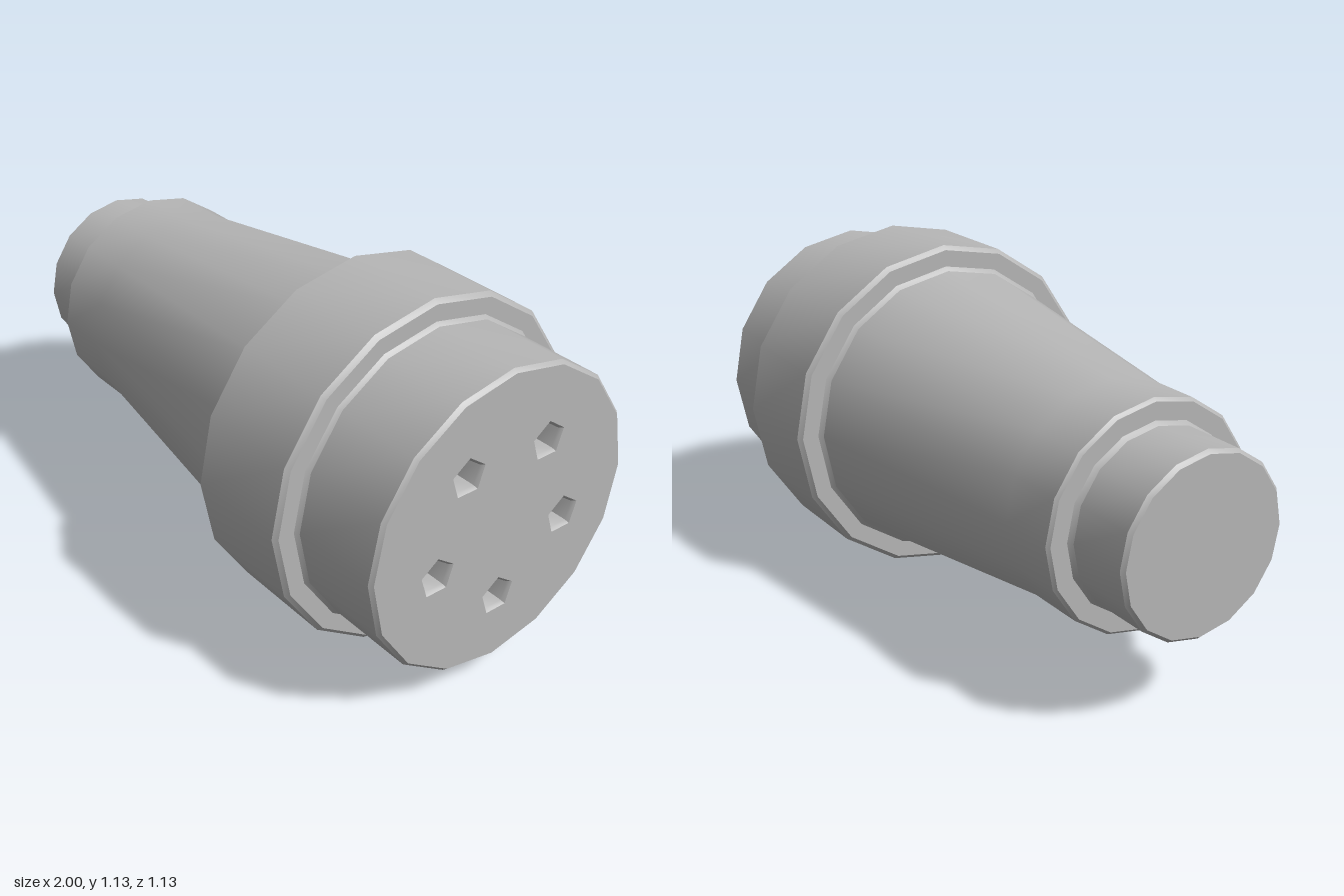
import * as THREE from 'three';
import { toCreasedNormals } from 'three/addons/utils/BufferGeometryUtils.js';

const RADIUS = 0.563;
const SIDES = 16;
const CREASE = 0.6;

export function createModel() {
  const model = new THREE.Group();
  model.name = 'plugConnector';
  const grey = new THREE.MeshStandardMaterial({ color: 0xb6b6b6 });
  grey.name = 'grey';

  // Turns a [x, radius] profile around the long axis
  function turned(name, profile, sides, phiStart = 0) {
    const points = profile.map(([x, r]) => new THREE.Vector2(r, x));
    const geometry = new THREE.LatheGeometry(points, sides, phiStart);
    geometry.rotateZ(-Math.PI / 2);
    const mesh = new THREE.Mesh(toCreasedNormals(geometry, CREASE), grey);
    mesh.name = name;
    mesh.position.y = RADIUS;
    model.add(mesh);
    return mesh;
  }

  // Corner points of a regular polygon
  const polygon = (sides, r, cx = 0, cy = 0, start = 0) =>
    Array.from({ length: sides }, (_, i) => {
      const a = start + (i * 2 * Math.PI) / sides;
      return new THREE.Vector2(cx + r * Math.cos(a), cy + r * Math.sin(a));
    });

  // Cable stub, closed at the back end
  turned('cableStub', [
    [-1, 0], [-1, 0.274], [-0.988, 0.285], [-0.785, 0.285], [-0.77, 0.296],
  ], SIDES);

  // Tapered grip with a short straight neck
  turned('taperedGrip', [
    [-0.77, 0.296], [-0.77, 0.352], [-0.76, 0.362], [-0.57, 0.362],
    [0.312, 0.481], [0.325, 0.494],
  ], SIDES);

  // Wide locking collar
  turned('collar', [
    [0.325, 0.494], [0.325, 0.549], [0.339, RADIUS], [0.677, RADIUS],
    [0.69, 0.549], [0.69, 0.496],
  ], SIDES);

  // Plug sleeve, left open for the socket face
  turned('sleeve', [
    [0.69, 0.496], [0.702, 0.485], [0.988, 0.485], [1, 0.474],
  ], SIDES);

  // Five pin sockets in a ring, one at the bottom
  const sockets = polygon(5, 0.257, 0, 0, -Math.PI / 2);
  const face = new THREE.Shape(polygon(SIDES, 0.474));
  for (const c of sockets) {
    face.holes.push(new THREE.Path(polygon(5, 0.062, c.x, c.y, Math.PI / 2)));
    const socket = turned('pinSocket', [
      [0, 0.062], [-0.012, 0.052], [-0.1, 0.052], [-0.1, 0],
    ], 5, -Math.PI / 2);
    socket.position.set(1, RADIUS + c.y, -c.x);
  }

  // Flat socket face
  const faceGeometry = new THREE.ShapeGeometry(face);
  faceGeometry.rotateY(Math.PI / 2);
  const socketFace = new THREE.Mesh(faceGeometry, grey);
  socketFace.name = 'socketFace';
  socketFace.position.set(1, RADIUS, 0);
  model.add(socketFace);

  return model;
}
